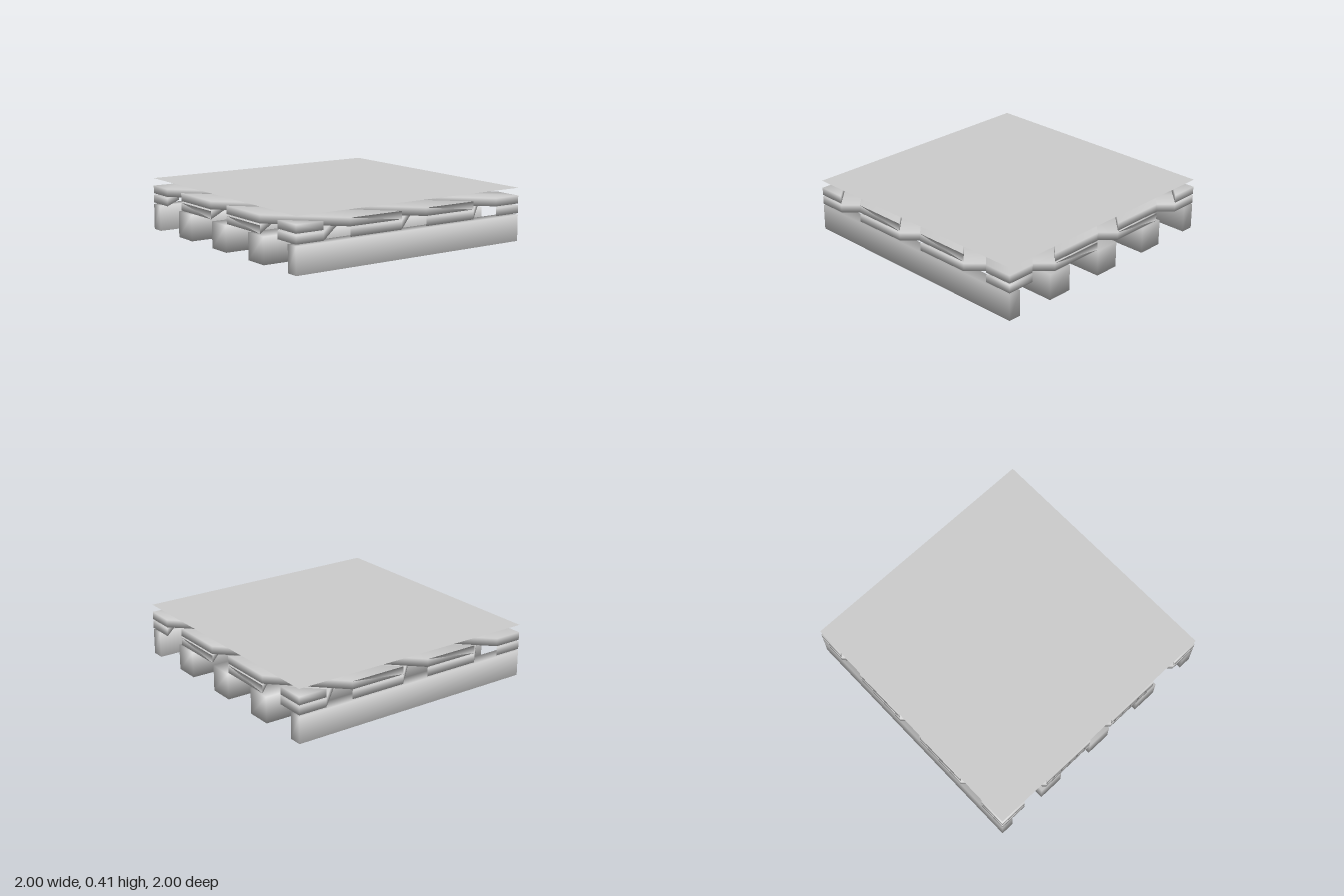
import * as THREE from 'three';
import { mergeVertices } from 'three/addons/utils/BufferGeometryUtils.js';

const BEAM_HEIGHT = 0.2;
const BOARD_THICKNESS = 0.06;
const BOARD_PITCH = 2 / 3; // board spacing measured along the floor edge
const BOARD_HALF = BOARD_PITCH / 3;
const LOWER_Y = 0.2125, UPPER_Y = 0.286, SHEET_Y = 0.405;

// Shared vertices give soft shading over the timber edges
function soften(geometry) {
  geometry.deleteAttribute('normal');
  geometry.deleteAttribute('uv');
  const merged = mergeVertices(geometry, 1e-4);
  merged.computeVertexNormals();
  return merged;
}

// Diagonal board: the band |x + z - c| <= BOARD_HALF trimmed to the square floor
function boardGeometry(c) {
  const a = Math.max(-2, c - BOARD_HALF), b = Math.min(2, c + BOARD_HALF);
  const end = (s) => {
    const x = Math.min(1, s + 1);
    return [x, s - x];
  };
  const side = [end(a)];
  if (a < 0 && b > 0) side.push([1, -1]);
  side.push(end(b));
  const other = side.map(([x, z]) => [z, x]).reverse();
  const outline = [...side, ...other]
    .map(([x, z]) => new THREE.Vector2(x, -z))
    .filter((p, i, all) => p.distanceTo(all[(i + 1) % all.length]) > 1e-4);
  const geometry = new THREE.ExtrudeGeometry(new THREE.Shape(outline), {
    depth: BOARD_THICKNESS, bevelEnabled: false,
  });
  geometry.rotateX(-Math.PI / 2);
  return soften(geometry);
}

export function createModel() {
  const model = new THREE.Group();
  model.name = 'floorSection';
  const material = new THREE.MeshStandardMaterial({ color: 0xcccccc });

  // Joists run front to back; the outer two are half width
  const joists = new THREE.Group();
  joists.name = 'joists';
  for (let i = -2; i <= 2; i++) {
    const outer = Math.abs(i) === 2;
    const geometry = soften(new THREE.BoxGeometry(outer ? 0.1 : 0.2, BEAM_HEIGHT, 2));
    const joist = new THREE.Mesh(geometry, material);
    joist.name = 'joist';
    joist.position.set(outer ? Math.sign(i) * 0.95 : i * 0.5, BEAM_HEIGHT / 2, 0);
    joists.add(joist);
  }
  model.add(joists);

  // Two layers of spaced diagonal boards, crossing at right angles
  const upper = new THREE.Group(), lower = new THREE.Group();
  upper.name = 'upperBoards';
  lower.name = 'lowerBoards';
  for (let i = -3; i <= 3; i++) {
    const geometry = boardGeometry(i * BOARD_PITCH);
    for (const layer of [upper, lower]) {
      const board = new THREE.Mesh(geometry, material);
      board.name = 'diagonalBoard';
      layer.add(board);
    }
  }
  upper.position.y = UPPER_Y;
  lower.position.y = LOWER_Y;
  lower.rotation.y = Math.PI / 2;
  model.add(upper, lower);

  // Thin top covering
  const sheet = new THREE.Mesh(
    new THREE.PlaneGeometry(2, 2).rotateX(-Math.PI / 2),
    new THREE.MeshStandardMaterial({ color: 0xcccccc, side: THREE.DoubleSide }),
  );
  sheet.name = 'topSheet';
  sheet.position.y = SHEET_Y;
  model.add(sheet);

  return model;
}
